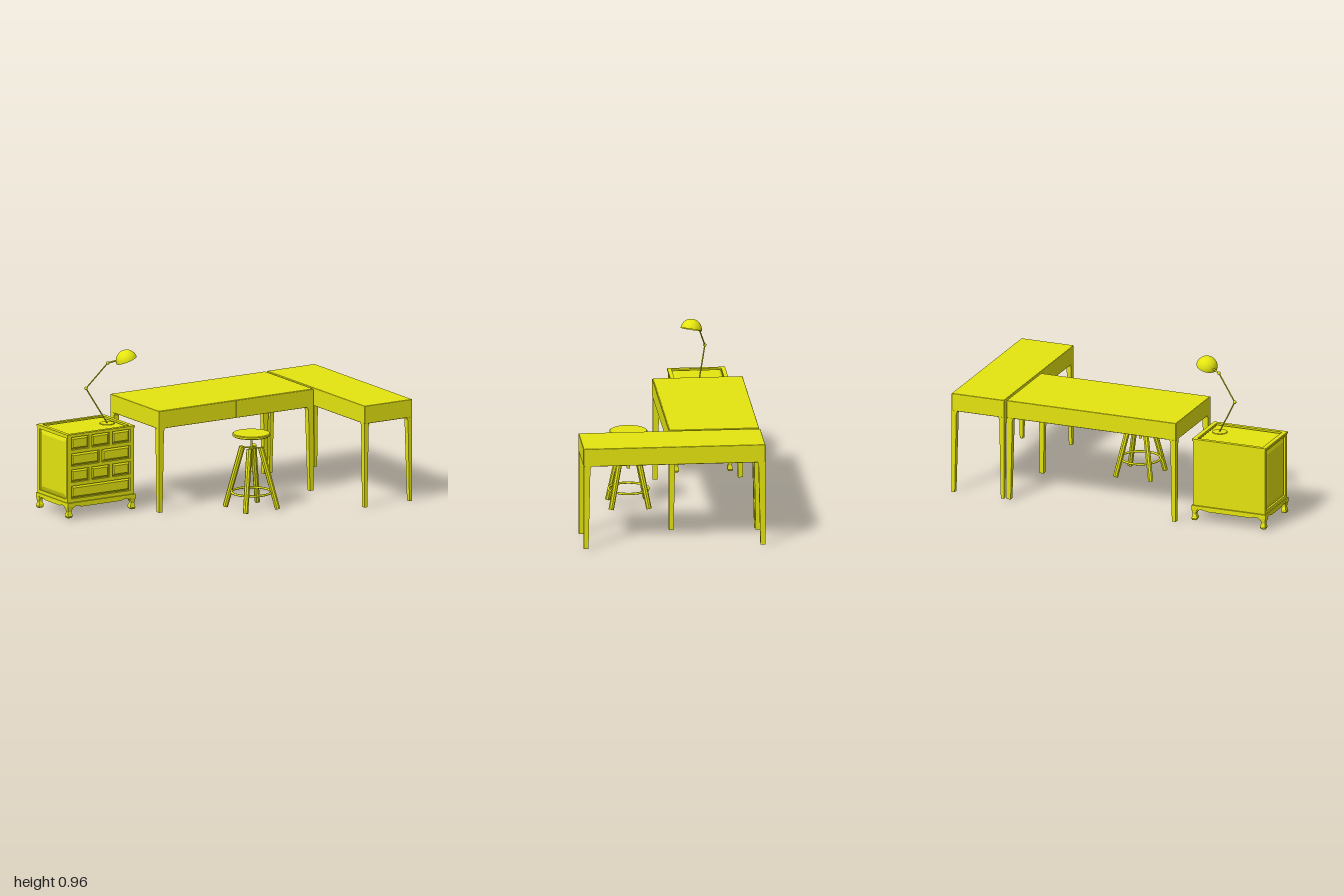
import * as THREE from 'three';
import { RoundedBoxGeometry } from 'three/addons/geometries/RoundedBoxGeometry.js';

const mat = new THREE.MeshStandardMaterial({ color: 0xe5e510, flatShading: true });
const smooth = new THREE.MeshStandardMaterial({ color: 0xe5e510 });
const thin = new THREE.MeshStandardMaterial({ color: 0xe5e510, side: THREE.DoubleSide });
const V = (x, y, z) => new THREE.Vector3(x, y, z);

function add(parent, name, geo, x = 0, y = 0, z = 0, m = mat) {
  const mesh = new THREE.Mesh(geo, m);
  mesh.name = name;
  mesh.position.set(x, y, z);
  parent.add(mesh);
  return mesh;
}

function group(parent, name, x = 0, y = 0, z = 0) {
  const g = new THREE.Group();
  g.name = name;
  g.position.set(x, y, z);
  parent.add(g);
  return g;
}

// Round bar between two points
function rod(parent, name, a, b, ra, rb = ra, sides = 12, m = smooth) {
  const mesh = add(parent, name, new THREE.CylinderGeometry(rb, ra, a.distanceTo(b), sides), 0, 0, 0, m);
  mesh.position.copy(a).add(b).multiplyScalar(0.5);
  mesh.quaternion.setFromUnitVectors(V(0, 1, 0), b.clone().sub(a).normalize());
  return mesh;
}

function rectPath(Type, x0, y0, x1, y1) {
  return new Type([[x0, y0], [x1, y0], [x1, y1], [x0, y1]].map(p => new THREE.Vector2(...p)));
}

// Value at y in a list of [y, value] steps
function along(steps, y) {
  for (let i = 1; i < steps.length; i++) {
    const [y0, v0] = steps[i - 1], [y1, v1] = steps[i];
    if (y <= y1 + 1e-5) return v0 + (v1 - v0) * (y - y0) / (y1 - y0);
  }
  return steps.at(-1)[1];
}

// Square leg whose outer corner runs at (0, 0) and whose body extends toward (dx, dz)
function cornerLeg(levels, outer, widthX, widthZ, dx, dz) {
  const n = levels.length - 1;
  const geo = new THREE.BoxGeometry(1, 1, 1, 1, n, 1);
  const p = geo.attributes.position;
  for (let i = 0; i < p.count; i++) {
    const y = levels[Math.round((p.getY(i) + 0.5) * n)];
    const o = along(outer, y);
    const tx = dx * p.getX(i) + 0.5, tz = dz * p.getZ(i) + 0.5;
    p.setXYZ(i, dx * (o + tx * along(widthX, y)), y, dz * (o + tz * along(widthZ, y)));
  }
  geo.computeVertexNormals();
  return geo;
}

// Table: slab with deep apron on four tapered corner legs
function desk(root, name, x0, x1, z0, z1, footX, drawers) {
  const g = group(root, name);
  const w = x1 - x0, front = drawers ? z1 - 0.004 : z1;
  add(g, 'deskBody', new RoundedBoxGeometry(w, 0.11, front - z0, 2, 0.004), (x0 + x1) / 2, 0.565, (z0 + front) / 2);
  if (drawers) {
    for (const s of [-1, 1]) {
      add(g, 'drawerFront', new THREE.BoxGeometry(w / 2 - 0.003, 0.104, 0.006),
        (x0 + x1) / 2 + s * (w / 4), 0.565, z1 - 0.003);
    }
  }
  const wx = [[0, footX], [0.49, footX + 0.01], [0.505, footX + 0.014], [0.515, footX + 0.024]];
  const wz = [[0, 0.028], [0.49, 0.039], [0.505, 0.043], [0.515, 0.053]];
  for (const dx of [1, -1]) for (const dz of [1, -1]) {
    add(g, 'deskLeg', cornerLeg([0, 0.49, 0.505, 0.515], [[0, 0.001], [1, 0.001]], wx, wz, dx, dz),
      dx > 0 ? x0 : x1, 0, dz > 0 ? z0 : z1);
  }
}

// Frame with openings, each filled by a bevelled inset panel; outer face at z = 0
function framedPanel(parent, name, w, h, depth, openings, bevel, rise) {
  const g = group(parent, name);
  const shape = rectPath(THREE.Shape, -w / 2, -h / 2, w / 2, h / 2);
  for (const o of openings) shape.holes.push(rectPath(THREE.Path, ...o));
  add(g, 'panelFrame', new THREE.ExtrudeGeometry(shape, { depth, bevelEnabled: false }), 0, 0, -depth);
  for (const [a, b, c, d] of openings) {
    const s = rectPath(THREE.Shape, a + 0.003, b + 0.003, c - 0.003, d - 0.003);
    add(g, 'insetPanel', new THREE.ExtrudeGeometry(s, {
      depth: 0.001, bevelSize: bevel, bevelOffset: -bevel, bevelThickness: rise, bevelSegments: 1,
    }), 0, 0, -depth);
  }
  return g;
}

function cabinet(root) {
  const g = group(root, 'cabinet', -0.7625, 0, -0.3125);
  const W = 0.466, H = 0.41, D = 0.336, t = 0.012;
  add(g, 'carcass', new THREE.BoxGeometry(W - 2 * t, H - t, D - t), 0, 0.1 + (H - t) / 2, -t / 2);
  add(g, 'backPanel', new THREE.BoxGeometry(W, H, 0.012), 0, 0.1 + H / 2, -D / 2 + 0.006);

  // Drawer front: rows from bottom to top
  const rows = [[1, 0.122], [3, 0.222], [2, 0.32], [3, 0.42]];
  const openings = [];
  for (const [n, y] of rows) {
    const cell = (0.415 + 0.02) / n;
    for (let i = 0; i < n; i++) {
      const x = -0.2075 + i * cell;
      openings.push([x, y - 0.305, x + cell - 0.02, y - 0.305 + 0.077]);
    }
  }
  framedPanel(g, 'drawerFronts', W, H, t, openings, 0.01, 0.008).position.set(0, 0.305, D / 2);

  // Sides and top
  for (const s of [-1, 1]) {
    const side = framedPanel(g, 'sidePanel', D, H, t, [[-0.148, -0.185, 0.148, 0.188]], 0.024, 0.009);
    side.rotation.y = s * Math.PI / 2;
    side.position.set(s * W / 2, 0.305, 0);
  }
  const top = framedPanel(g, 'topPanel', 0.474, 0.346, t, [[-0.211, -0.148, 0.211, 0.148]], 0.012, 0.006);
  top.rotation.x = -Math.PI / 2;
  top.position.y = 0.516;

  // Base: slab, scalloped aprons and curved feet
  const BW = 0.476, BD = 0.356;
  add(g, 'baseSlab', new THREE.BoxGeometry(BW, 0.014, BD), 0, 0.093, 0);
  const apron = (len, turn, dist) => {
    const e = len / 2 - 0.01, s = new THREE.Shape();
    s.moveTo(-e, 0.095);
    s.lineTo(-e, 0.06);
    s.lineTo(-e + 0.025, 0.06);
    s.quadraticCurveTo(-e + 0.03, 0.078, -e + 0.055, 0.077);
    s.quadraticCurveTo(-e + 0.075, 0.079, -e + 0.085, 0.07);
    s.lineTo(e - 0.085, 0.07);
    s.quadraticCurveTo(e - 0.075, 0.079, e - 0.055, 0.077);
    s.quadraticCurveTo(e - 0.03, 0.078, e - 0.025, 0.06);
    s.lineTo(e, 0.06);
    s.lineTo(e, 0.095);
    const mesh = add(g, 'baseApron', new THREE.ExtrudeGeometry(s, { depth: 0.016, bevelEnabled: false, curveSegments: 6 }));
    mesh.rotation.y = turn;
    mesh.position.set(Math.sin(turn) * dist, 0, Math.cos(turn) * dist);
  };
  for (const k of [0, 2]) apron(BW, k * Math.PI / 2, BD / 2 - 0.018);
  for (const k of [1, 3]) apron(BD, k * Math.PI / 2, BW / 2 - 0.018);
  const outer = [[0.008, 0.004], [0.018, 0], [0.03, 0.003], [0.045, 0.006], [0.06, 0.003], [0.075, 0], [0.09, 0]];
  const width = [[0.008, 0.024], [0.018, 0.034], [0.03, 0.031], [0.045, 0.022], [0.06, 0.027], [0.075, 0.036], [0.09, 0.04]];
  for (const dx of [1, -1]) for (const dz of [1, -1]) {
    add(g, 'cabinetFoot', cornerLeg(outer.map(p => p[0]), outer, width, width, dx, dz), -dx * BW / 2, 0, -dz * BD / 2);
  }
}

function stool(root) {
  const g = group(root, 'stool', 0.086, 0, 0.19);
  const profile = [[0, 0.441], [0.108, 0.441], [0.114, 0.445], [0.114, 0.456], [0.109, 0.46], [0, 0.46]];
  add(g, 'seat', new THREE.LatheGeometry(profile.map(p => new THREE.Vector2(...p)), 40));
  rod(g, 'seatScrew', V(0, 0.23, 0), V(0, 0.442, 0), 0.006);
  rod(g, 'screwEnd', V(0, 0.225, 0), V(0, 0.246, 0), 0.01);
  rod(g, 'seatMount', V(0, 0.434, 0), V(0, 0.442, 0), 0.025);
  rod(g, 'screwCollar', V(0, 0.358, 0), V(0, 0.378, 0), 0.012);
  for (const dx of [1, -1]) for (const dz of [1, -1]) {
    rod(g, 'stoolLeg', V(dx * 0.113, 0.003, dz * 0.113), V(dx * 0.04, 0.374, dz * 0.04), 0.016, 0.018, 8, mat);
    rod(g, 'collarArm', V(0, 0.37, 0), V(dx * 0.04, 0.37, dz * 0.04), 0.005);
  }
  add(g, 'footRing', new THREE.TorusGeometry(0.119, 0.007, 8, 40), 0, 0.1, 0, smooth).rotation.x = Math.PI / 2;
}

function lamp(root) {
  const g = group(root, 'deskLamp');
  const foot = V(-0.625, 0.515, -0.292), elbow = V(-0.742, 0.73, -0.342);
  const wrist = V(-0.62, 0.88, -0.292), centre = V(-0.52, 0.894, -0.24);
  rod(g, 'lampBase', V(foot.x, 0.506, foot.z), foot, 0.046, 0.044, 32);
  rod(g, 'lowerArm', foot, elbow, 0.004);
  rod(g, 'upperArm', elbow, wrist, 0.004);
  rod(g, 'shadeArm', wrist, V(-0.575, 0.893, -0.269), 0.005);
  for (const p of [elbow, wrist]) {
    add(g, 'lampJoint', new THREE.SphereGeometry(0.01, 12, 8), p.x, p.y, p.z, smooth);
  }
  const shade = add(g, 'lampShade', new THREE.SphereGeometry(0.064, 32, 12, 0, Math.PI * 2, 0, Math.PI / 2),
    centre.x, centre.y, centre.z, thin);
  shade.quaternion.setFromUnitVectors(V(0, 1, 0), V(-0.33, 1, -0.2).normalize());
}

export function createModel() {
  const root = new THREE.Group();
  root.name = 'workspace';
  desk(root, 'mainDesk', -0.445, 0.645, -0.54, 0, 0.025, true);
  desk(root, 'sideDesk', 0.66, 0.997, -0.545, 0.54, 0.019, false);
  cabinet(root);
  stool(root);
  lamp(root);
  return root;
}
